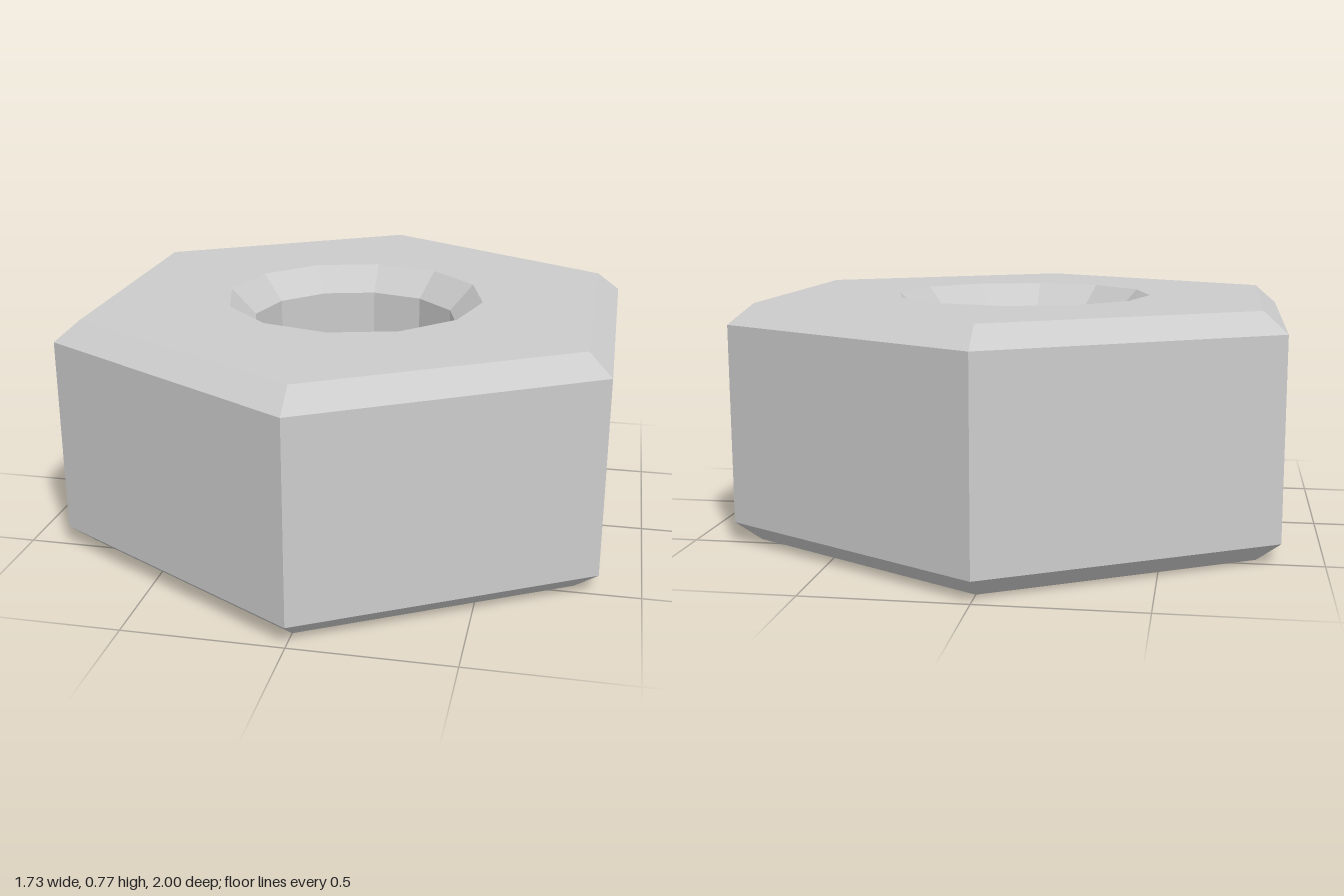
import * as THREE from 'three';

const H = 0.77;
const material = new THREE.MeshStandardMaterial({ color: 0xcccccc, flatShading: true });

// Regular polygon with its first corner on the z axis
function polygon(radius, sides) {
  return Array.from({ length: sides }, (_, i) => {
    const a = (i / sides) * Math.PI * 2;
    return new THREE.Vector2(Math.sin(a) * radius, Math.cos(a) * radius);
  });
}

// Faceted wall swept around the y axis from [radius, height] pairs
function wall(name, profile, sides) {
  const points = profile.map(([r, y]) => new THREE.Vector2(r, y));
  const mesh = new THREE.Mesh(new THREE.LatheGeometry(points, sides), material);
  mesh.name = name;
  return mesh;
}

// Flat hexagonal face with the bore cut out
function face(name, y, facing) {
  const shape = new THREE.Shape(polygon(0.915, 6));
  shape.holes.push(new THREE.Path(polygon(0.43, 12)));
  const mesh = new THREE.Mesh(new THREE.ShapeGeometry(shape), material);
  mesh.rotation.x = -facing * Math.PI / 2;
  mesh.position.y = y;
  mesh.name = name;
  return mesh;
}

export function createModel() {
  const nut = new THREE.Group();
  nut.name = 'hexNut';
  nut.add(
    // Six flats with chamfered rims, bottom to top so they face outward
    wall('hexSides', [[0.915, 0], [1, 0.065], [1, H - 0.065], [0.915, H]], 6),
    // Twelve-sided bore with countersunk ends, top to bottom so it faces inward
    wall('bore', [[0.43, H], [0.347, H - 0.085], [0.347, 0.085], [0.43, 0]], 12),
    face('topFace', H, 1),
    face('bottomFace', 0, -1),
  );
  return nut;
}
